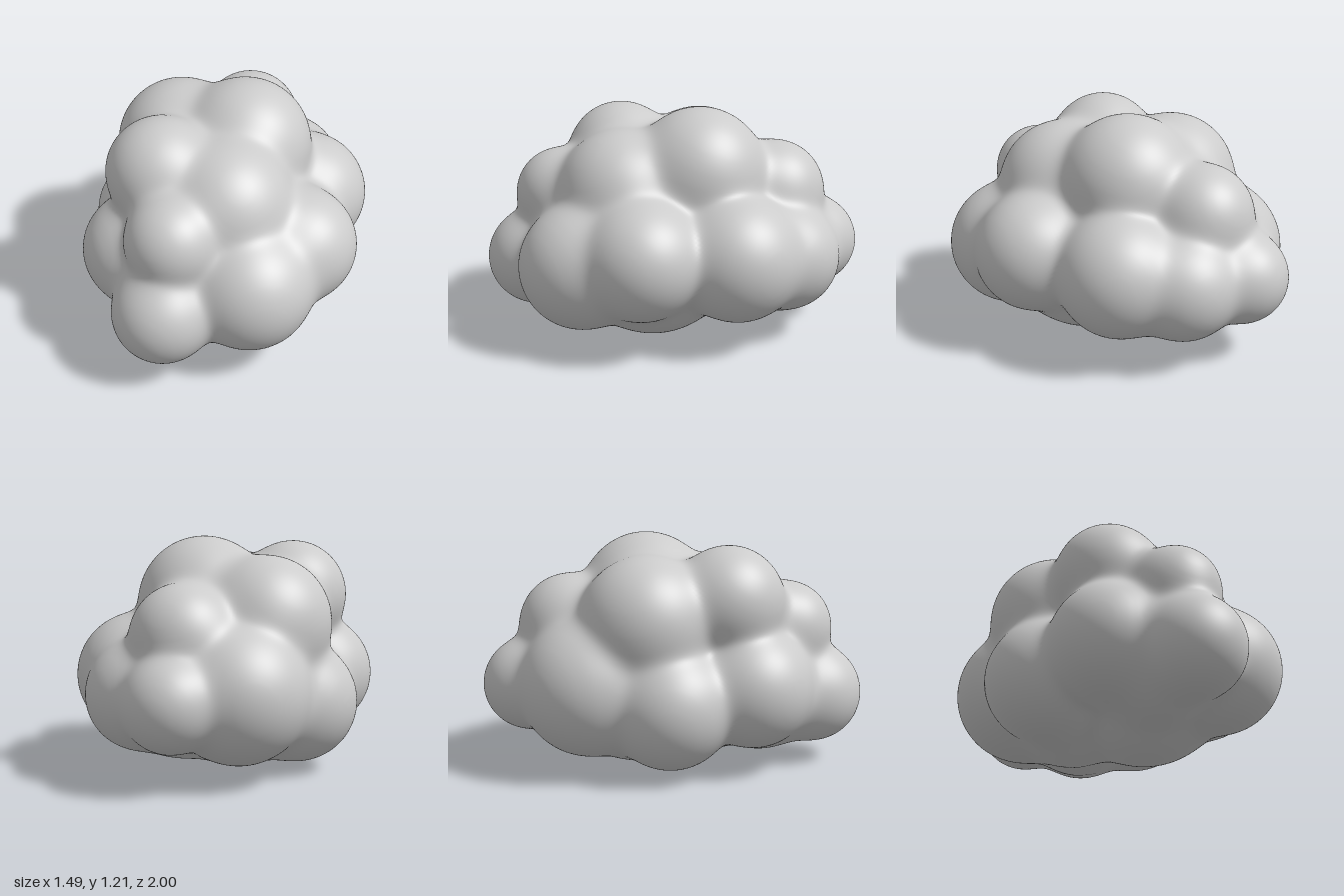
import * as THREE from 'three';
import { mergeVertices } from 'three/addons/utils/BufferGeometryUtils.js';

// Puffs of the cloud: x, y, z, radius
const PUFFS = [
  [0.065, 0.87, -0.13, 0.345],  // crown
  [-0.28, 0.89, 0.26, 0.285],   // upper front right
  [-0.30, 0.79, -0.17, 0.34],   // upper back right
  [0.07, 0.77, 0.28, 0.335],    // upper front
  [-0.01, 0.745, -0.54, 0.265], // upper back
  [-0.13, 0.73, 0.595, 0.235],  // front middle
  [-0.14, 0.37, 0.735, 0.26],   // front foot
  [0.25, 0.44, 0.50, 0.33],     // front left
  [0.435, 0.52, 0.205, 0.305],  // left side
  [0.37, 0.49, -0.29, 0.325],   // left side, rear
  [0.21, 0.44, -0.57, 0.28],    // back left
  [-0.05, 0.44, -0.76, 0.24],   // tail
  [-0.28, 0.46, -0.46, 0.355],  // back right
  [-0.43, 0.37, -0.06, 0.315],  // right side
  [-0.37, 0.45, 0.37, 0.305],   // right side, front
  [0.08, 0.45, 0.12, 0.44],     // belly
  [-0.15, 0.38, -0.20, 0.34],   // belly, rear
  [-0.13, 0.40, 0.45, 0.325],   // belly, front
  [0.06, 0.40, -0.40, 0.30],    // belly, back
];
const BLEND = 0.034;

// Distance to the softly blended union of all puffs
function cloudDistance(x, y, z) {
  let sum = 0;
  for (const [px, py, pz, r] of PUFFS) {
    sum += Math.exp((r - Math.hypot(x - px, y - py, z - pz)) / BLEND);
  }
  return -BLEND * Math.log(sum);
}

export function createModel() {
  const group = new THREE.Group();
  group.name = 'cloud';

  // Shrink-wrap a fine ball onto the blended puffs
  let geometry = new THREE.IcosahedronGeometry(1, 52);
  geometry.deleteAttribute('uv');
  geometry.deleteAttribute('normal');
  geometry = mergeVertices(geometry, 1e-5);
  const position = geometry.attributes.position;
  const centre = new THREE.Vector3(0, 0.5, 0);
  const stretch = new THREE.Vector3(0.75, 0.65, 1);
  const dir = new THREE.Vector3();
  const point = new THREE.Vector3();
  for (let i = 0; i < position.count; i++) {
    dir.fromBufferAttribute(position, i).multiply(stretch).normalize();
    let reach = 1.3;
    for (let step = 0; step < 60; step++) {
      point.copy(centre).addScaledVector(dir, reach);
      const d = cloudDistance(point.x, point.y, point.z);
      if (d < 0.0003) break;
      reach -= d;
    }
    position.setXYZ(i, point.x, point.y, point.z);
  }

  // Stand it centred on the ground
  geometry.computeBoundingBox();
  const box = geometry.boundingBox;
  const middle = box.getCenter(new THREE.Vector3());
  geometry.translate(-middle.x, -box.min.y, -middle.z);
  geometry.computeVertexNormals();

  const body = new THREE.Mesh(geometry, new THREE.MeshStandardMaterial({ color: 0xcccccc }));
  body.name = 'cloudBody';
  group.add(body);
  return group;
}
